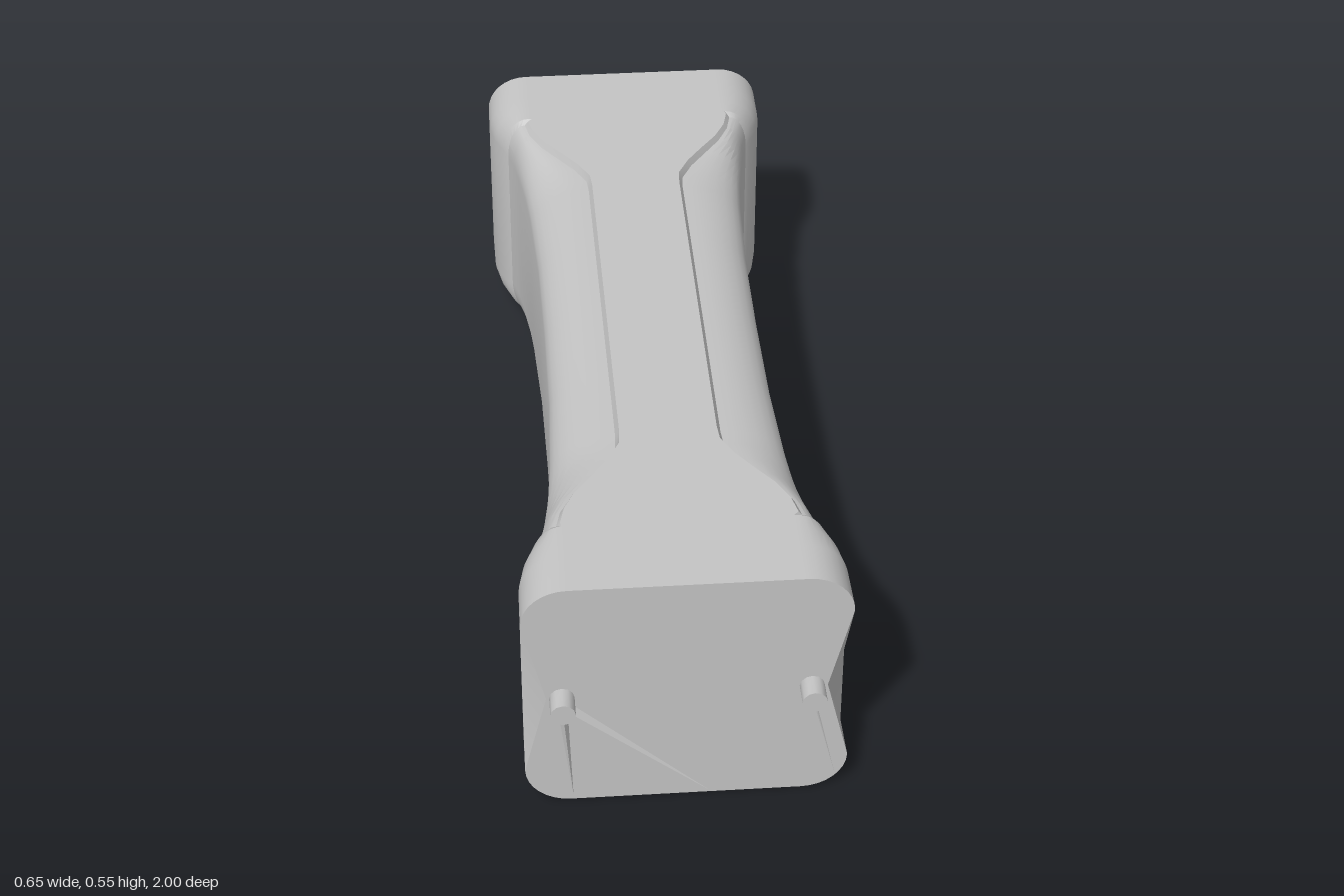
import * as THREE from 'three';
import { toCreasedNormals } from 'three/addons/utils/BufferGeometryUtils.js';

const H = 0.553, MID = H / 2, END = 0.95;
const PEG_X = 0.247;

// Half of the stations: [z, half width, half width of flat top, step depth, corner height]
const HALF = [
  [0.95, 0.324, 0.225, 0, 0.085],
  [0.85, 0.323, 0.225, 0, 0.085],
  [0.80, 0.313, 0.225, 0, 0.085],
  [0.757, 0.294, 0.225, 0, 0.085],
  [0.745, 0.284, 0.235, 0.01, 0.085],
  [0.70, 0.272, 0.225, 0.012, 0.085],
  [0.65, 0.264, 0.2, 0.014, 0.085],
  [0.60, 0.257, 0.163, 0.016, 0.08],
  [0.55, 0.251, 0.128, 0.016, 0.08],
  [0.50, 0.247, 0.103, 0.016, 0.08],
  [0.46, 0.244, 0.1, 0.016, 0.08],
  [0.25, 0.235, 0.1, 0.016, 0.08],
  [0, 0.233, 0.1, 0.016, 0.08],
];

// Closed outline, clockwise from the top middle
function section([, w, f, s, ry]) {
  const q = [[0, MID], [f, MID]];
  const x0 = f + 0.008, y0 = MID - s, n = 8;
  for (let i = 0; i <= n; i++) {
    const a = (i / n) * Math.PI / 2;
    q.push([x0 + (w - x0) * Math.sin(a), y0 - ry * (1 - Math.cos(a))]);
  }
  q.push([w, 0]);
  const flip = (sx, sy) => q.map(([x, y]) => [x * sx, y * sy]);
  return [
    ...q.slice(0, -1),
    ...flip(1, -1).reverse().slice(0, -1),
    ...flip(-1, -1).slice(0, -1),
    ...flip(-1, 1).reverse().slice(0, -1),
  ];
}

// Skin lofted along z
function bodyGeometry(rings) {
  const n = rings[0].length;
  const index = [];
  for (let j = 0; j < rings.length - 1; j++) {
    for (let i = 0; i < n; i++) {
      const a = j * n + i, b = j * n + (i + 1) % n;
      index.push(a, a + n, b, b, a + n, b + n);
    }
  }
  const g = new THREE.BufferGeometry();
  g.setAttribute('position', new THREE.Float32BufferAttribute(rings.flat(2), 3));
  g.setIndex(index);
  return toCreasedNormals(g, 0.38);
}

// End face fanned around the two peg roots
function capGeometry(ring, dir, rise) {
  const pos = [];
  const z = dir * (END + rise);
  const root = (s) => [s * PEG_X, MID, z];
  const tri = (a, b, c) => pos.push(...a, ...(dir > 0 ? [...c, ...b] : [...b, ...c]));
  ring.forEach((p, i) => {
    const q = ring[(i + 1) % ring.length];
    tri(root(p[0] + q[0] > 0 ? 1 : -1), p, q);
    // Middle triangles, above and below the line between the pegs
    if (Math.abs(p[0]) < 1e-6) {
      const s = p[1] > MID ? 1 : -1;
      tri(p, root(s), root(-s));
    }
  });
  const g = new THREE.BufferGeometry();
  g.setAttribute('position', new THREE.Float32BufferAttribute(pos, 3));
  g.computeVertexNormals();
  return g;
}

export function createModel() {
  const group = new THREE.Group();
  const grey = new THREE.MeshStandardMaterial({ color: 0xc4c4c4 });
  grey.name = 'light grey';
  const add = (geometry, name) => {
    const mesh = new THREE.Mesh(geometry, grey);
    mesh.name = name;
    group.add(mesh);
    return mesh;
  };

  // Waisted body with stepped grip panels
  const stations = [
    ...HALF.map(([z, ...r]) => [-z, ...r]),
    ...HALF.slice(0, -1).reverse(),
  ];
  const rings = stations.map((st) => section(st).map(([x, y]) => [x, y + MID, st[0]]));

  // Notches in both sides of the front end
  const front = rings[rings.length - 1];
  for (const p of front) if (Math.abs(p[1] - MID) < 1e-6) p[0] = Math.sign(p[0]) * 0.278;
  add(bodyGeometry(rings), 'body');
  add(capGeometry(front, 1, 0), 'frontEnd');
  add(capGeometry(rings[0], -1, 0.015), 'backEnd');

  // Contact pegs on both ends
  for (const dir of [1, -1]) {
    for (const side of [1, -1]) {
      const peg = new THREE.CylinderGeometry(0.025, 0.025, 0.06, 12).rotateX(Math.PI / 2);
      add(toCreasedNormals(peg, 0.7), dir > 0 ? 'frontPeg' : 'backPeg')
        .position.set(side * PEG_X, MID, dir * 0.97);
    }
  }

  // Thin ribs running from the front pegs to the lower edge
  for (const [side, x, y] of [[-1, 0.05, 0.002], [-1, -0.228, 0.008], [1, 0.3, 0.035]]) {
    const px = side * PEG_X, w = side < 0 ? 0.01 : 0.002;
    const a = [px - w, MID - 0.02, END], b = [px + w, MID - 0.01, END];
    const top = [px, MID - 0.015, END + (side < 0 ? 0.016 : 0.003)];
    const tip = [x, y, END + 0.001];
    const g = new THREE.BufferGeometry();
    g.setAttribute('position', new THREE.Float32BufferAttribute(
      [...a, ...tip, ...top, ...top, ...tip, ...b], 3));
    g.computeVertexNormals();
    add(g, 'rib');
  }
  return group;
}
